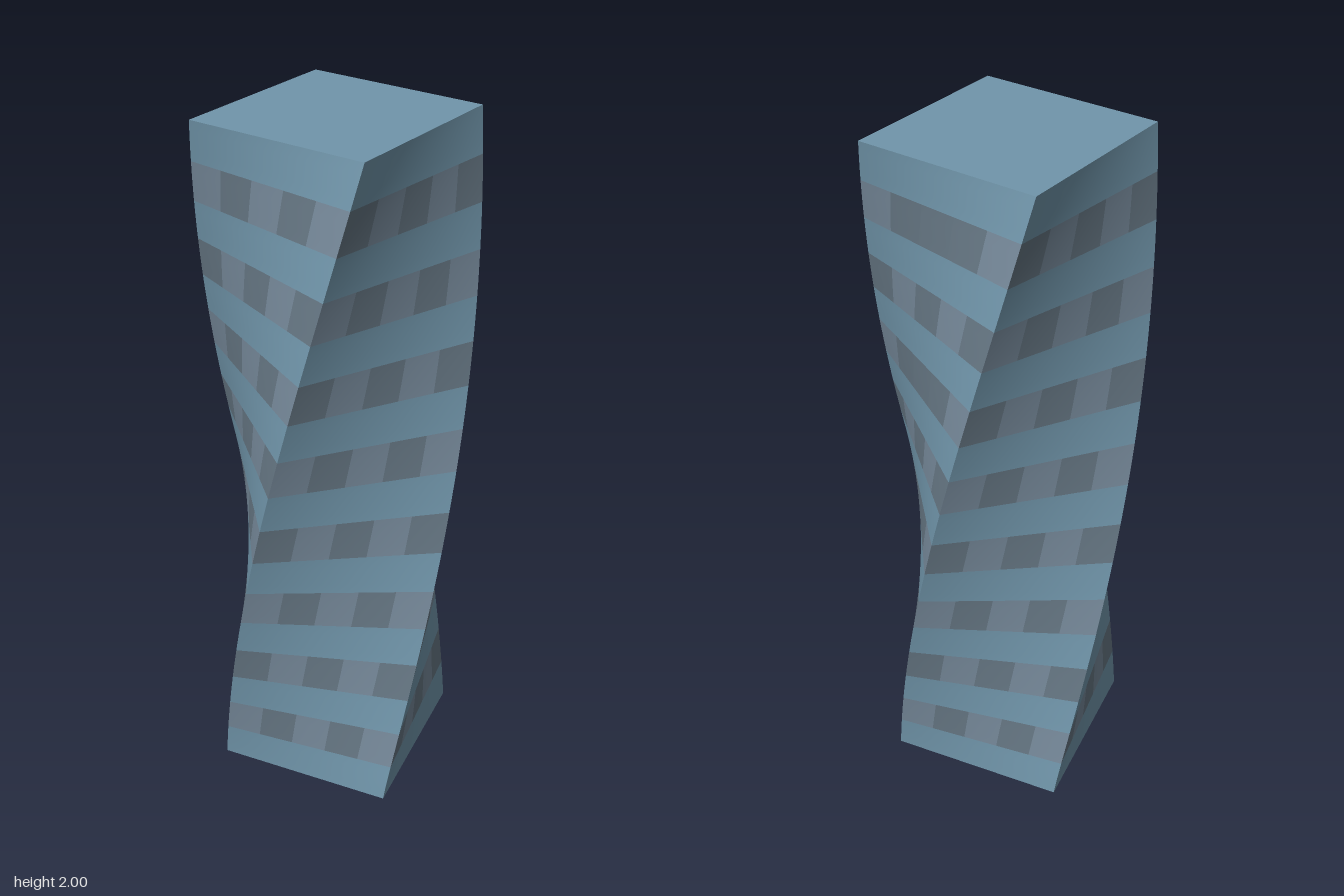
import * as THREE from 'three';
import { mergeGeometries } from 'three/addons/utils/BufferGeometryUtils.js';

const HEIGHT = 2;
const WIDTH = 0.526;
const FLOORS = 17; // plain and window storeys alternate
const CELLS = 5; // window cells along each side
const TWIST = THREE.MathUtils.degToRad(78);

// turn every vertex about the axis according to its height
function twist(geometry) {
  const pos = geometry.attributes.position;
  const v = new THREE.Vector3();
  const up = new THREE.Vector3(0, 1, 0);
  for (let i = 0; i < pos.count; i++) {
    v.fromBufferAttribute(pos, i);
    const t = THREE.MathUtils.clamp(v.y / HEIGHT, 0, 1);
    v.applyAxisAngle(up, TWIST * Math.pow(t, 1.1));
    pos.setXYZ(i, v.x, v.y, v.z);
  }
  geometry.computeVertexNormals();
  return geometry;
}

// one piece of facade: u0..u1 along the side, on one storey
function patch(side, floor, u0, u1) {
  const h = HEIGHT / FLOORS;
  const g = new THREE.PlaneGeometry((u1 - u0) * WIDTH, h, Math.round((u1 - u0) * 10), 4);
  g.translate(((u0 + u1) / 2 - 0.5) * WIDTH, (floor + 0.5) * h, WIDTH / 2);
  g.rotateY(side * Math.PI / 2);
  return twist(g);
}

export function createModel() {
  const group = new THREE.Group();
  const walls = [], bands = [], panes = [];

  for (let floor = 0; floor < FLOORS; floor++) {
    for (let side = 0; side < 4; side++) {
      if (floor % 2 === 0) {
        walls.push(patch(side, floor, 0, 1));
        continue;
      }
      // window storey: dark panes alternate with lighter panels
      const shift = (floor - 1) / 2;
      for (let c = 0; c < CELLS; c++) {
        const k = side * CELLS + c + shift;
        const dark = k % 2 === 1 || (k * 7 + floor * 3) % 13 === 0;
        (dark ? panes : bands).push(patch(side, floor, c / CELLS, (c + 1) / CELLS));
      }
    }
  }

  // roof and underside
  const roof = twist(new THREE.PlaneGeometry(WIDTH, WIDTH).rotateX(-Math.PI / 2).translate(0, HEIGHT, 0));
  const base = new THREE.PlaneGeometry(WIDTH, WIDTH).rotateX(Math.PI / 2);

  const add = (name, geometry, color) => {
    const mesh = new THREE.Mesh(geometry, new THREE.MeshStandardMaterial({ color }));
    mesh.name = name;
    group.add(mesh);
  };
  add('walls', mergeGeometries(walls), 0x7196ab);
  add('windowBands', mergeGeometries(bands), 0x76899a);
  add('windowPanes', mergeGeometries(panes), 0x667784);
  add('roof', roof, 0x7196ab);
  add('underside', base, 0x7196ab);
  return group;
}
